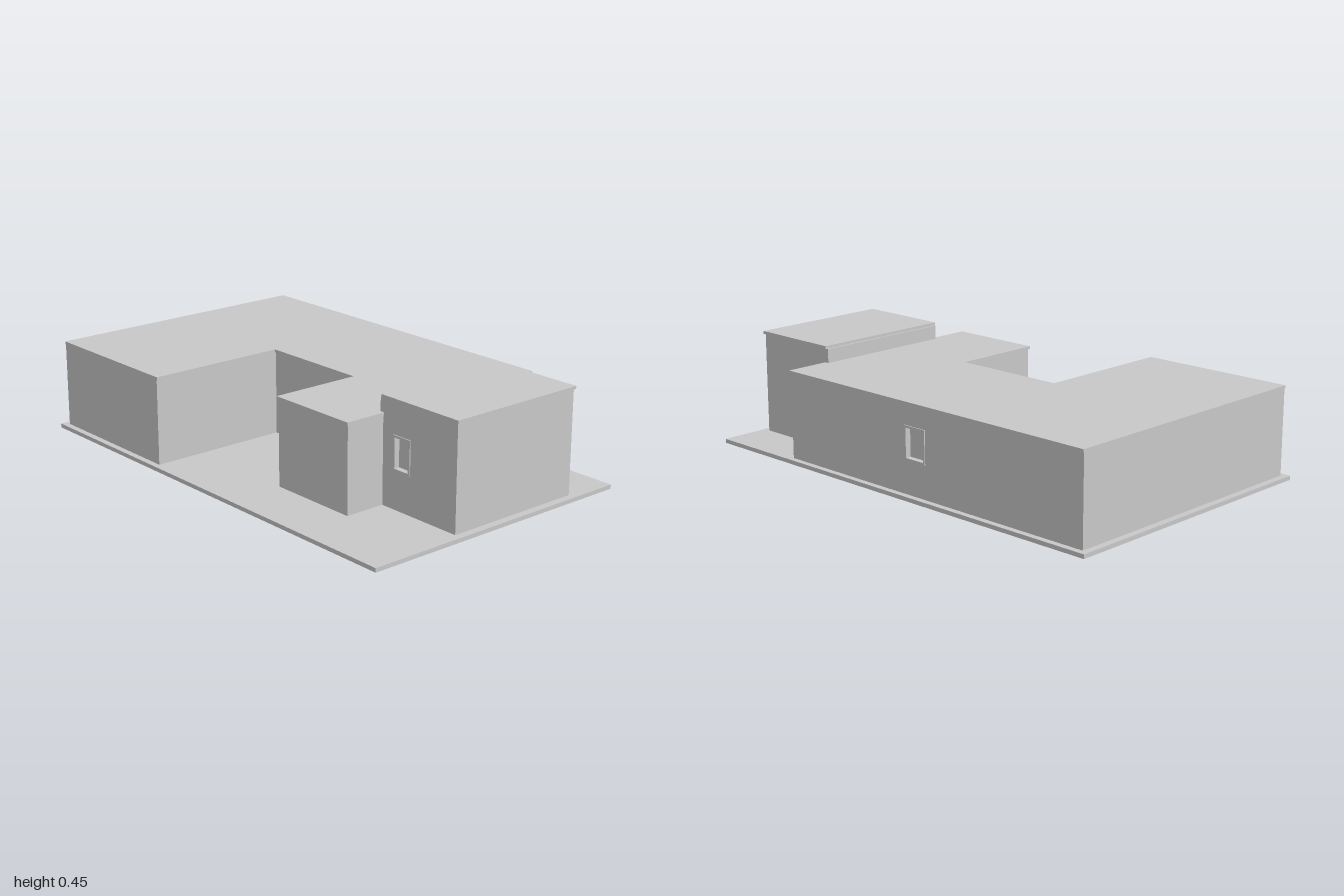
import * as THREE from 'three';

export function createModel() {
  const plaster = new THREE.MeshStandardMaterial({ color: 0xc8c8c8 });
  plaster.name = 'plainGrey';
  const model = new THREE.Group();
  model.name = 'courtyardBuilding';

  const BASE = 0.017, WALL = 0.03;

  function add(parent, name, geometry) {
    const mesh = new THREE.Mesh(geometry, plaster);
    mesh.name = name;
    parent.add(mesh);
    return mesh;
  }

  const rect = (C, x0, y0, x1, y1) => new C([
    new THREE.Vector2(x0, y0), new THREE.Vector2(x1, y0),
    new THREE.Vector2(x1, y1), new THREE.Vector2(x0, y1)]);

  const extrude = (shape, depth) =>
    new THREE.ExtrudeGeometry(shape, { depth, bevelEnabled: false });

  // Flat slab from an [x, z] outline
  function slab(points, y0, y1) {
    const shape = new THREE.Shape(points.map(([x, z]) => new THREE.Vector2(x, -z)));
    return extrude(shape, y1 - y0).rotateX(-Math.PI / 2).translate(0, y0, 0);
  }

  // One wall panel per outline edge; a window is [start, bottom, end, top] along its edge
  function walls(name, points, top, windows) {
    points.forEach(([x, z], i) => {
      const [nx, nz] = points[(i + 1) % points.length];
      const dx = nx - x, dz = nz - z;
      const panel = new THREE.Group();
      panel.name = name + (i + 1);
      panel.position.set(x, 0, z);
      panel.rotation.y = Math.atan2(-dz, dx);
      model.add(panel);

      const shape = rect(THREE.Shape, 0, BASE, Math.hypot(dx, dz), top);
      const win = windows[i];
      if (win) {
        const [a, b, c, d] = win, f = 0.009;
        shape.holes.push(rect(THREE.Path, a, b, c, d));
        // Slim projecting frame around a recessed pane
        const frame = rect(THREE.Shape, a, b, c, d);
        frame.holes.push(rect(THREE.Path, a + f, b + f, c - f, d - f));
        add(panel, 'windowFrame', extrude(frame, 0.029).translate(0, 0, -0.025));
        add(panel, 'windowPane', new THREE.BoxGeometry(c - a, d - b, 0.008)
          .translate((a + c) / 2, (b + d) / 2, -0.024));
      }
      add(panel, 'wall', extrude(shape, WALL).translate(0, 0, -WALL));
    });
  }

  // Ground slab
  add(model, 'baseSlab', new THREE.BoxGeometry(2, BASE, 1.226).translate(0, BASE / 2, 0));

  // Low U-shaped house around the courtyard
  walls('houseWall', [
    [-0.972, 0.587], [-0.313, 0.587], [-0.313, -0.015], [0.185, -0.015],
    [0.185, 0.375], [0.582, 0.375], [0.582, -0.588], [-0.972, -0.588],
  ], 0.371, { 3: [0.09, 0.14, 0.215, 0.305], 6: [0.663, 0.153, 0.773, 0.29] });
  add(model, 'houseRoof', slab([
    [-0.975, 0.588], [-0.31, 0.588], [-0.31, -0.008], [0.179, -0.008],
    [0.179, 0.38], [0.586, 0.38], [0.586, -0.594], [-0.975, -0.594],
  ], 0.371, 0.383));

  // Taller block on the side
  walls('towerWall', [
    [0.567, 0.201], [0.969, 0.201], [0.969, -0.405], [0.567, -0.405],
  ], 0.441, { 0: [0.073, 0.172, 0.163, 0.312] });
  add(model, 'towerRoof', slab([
    [0.575, 0.206], [0.975, 0.206], [0.975, -0.411], [0.575, -0.411],
  ], 0.441, 0.453));
  // Ledge closing the wall top beside the roof
  add(model, 'towerLedge', new THREE.BoxGeometry(0.02, 0.004, 0.606)
    .translate(0.577, 0.439, -0.102));

  return model;
}
